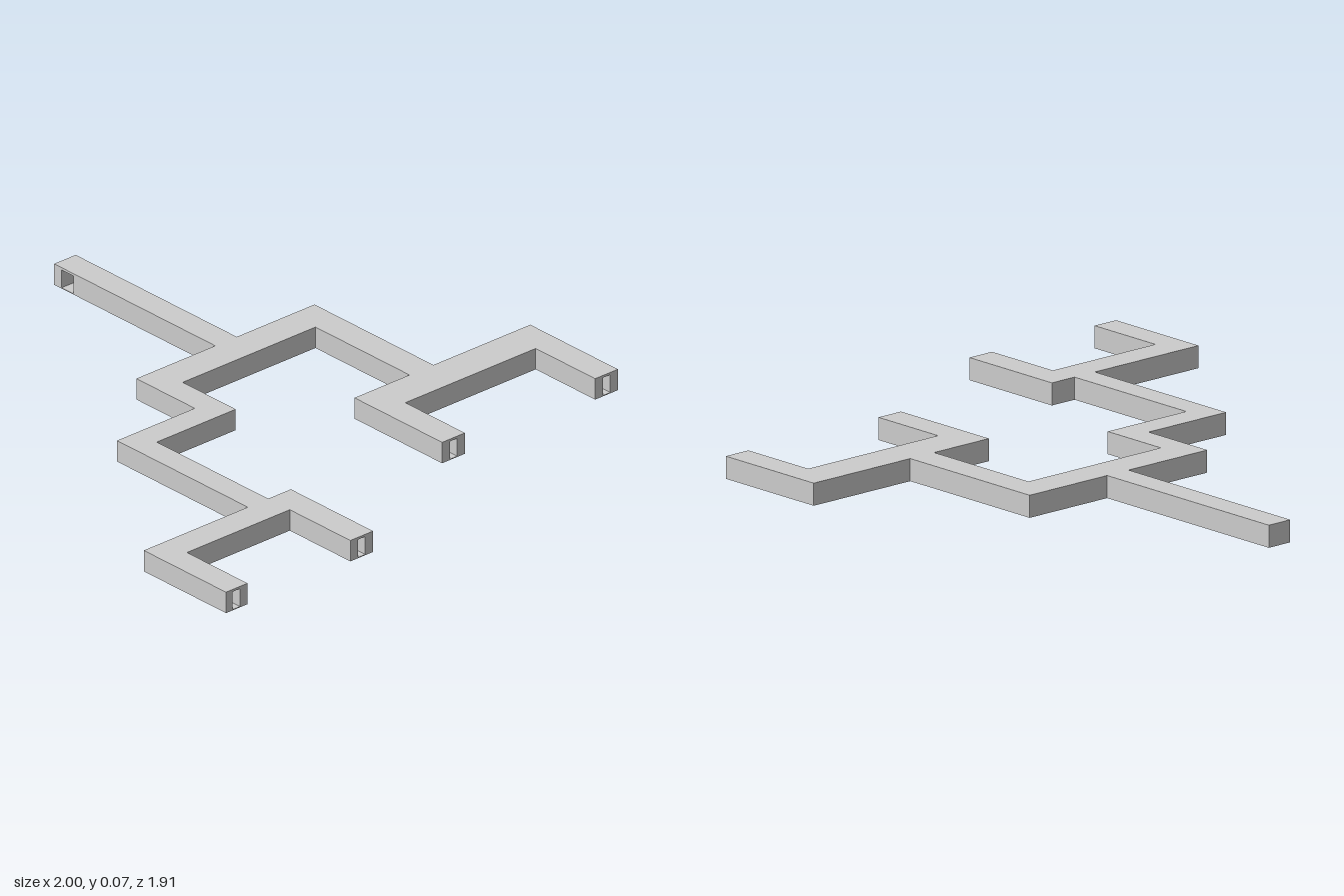
import * as THREE from 'three';

const HEIGHT = 0.073, FLOOR = 0.003, LINTEL = 0.065;
const DEPTH = 0.06; // how far each doorway runs into its corridor

// Doorway in an end wall facing +x, walked towards +z
const endDoor = (x, z) => [
  [x, z - 0.015], [x - DEPTH, z - 0.015], [x - DEPTH, z + 0.015], [x, z + 0.015],
];
// Doorway in a side wall facing +z, walked towards -x
const sideDoor = (x, z) => [
  [x + 0.027, z], [x + 0.027, z - DEPTH], [x - 0.027, z - DEPTH], [x - 0.027, z],
];

// Plan of the branching corridors as [x, z], with or without doorways
function plan(doors) {
  const end = (x, z) => (doors ? endDoor(x, z) : []);
  const side = (x, z) => (doors ? sideDoor(x, z) : []);
  const points = [
    // entrance corridor and back branch
    [-1, -0.225], [-0.255, -0.225], [-0.255, -0.55], [0.295, -0.55],
    [0.295, -0.955], [0.7, -0.955], ...end(0.7, -0.908), [0.7, -0.86],
    [0.425, -0.86], [0.425, -0.315], [0.7, -0.315], ...end(0.7, -0.268), [0.7, -0.22],
    [0.295, -0.22], [0.295, -0.45], [-0.14, -0.45],
    // front branch
    [-0.14, 0.105], [0.105, 0.105], [0.105, 0.435], [0.62, 0.435],
    [0.62, 0.34], [1, 0.34], ...end(1, 0.388), [1, 0.435],
    [0.72, 0.435], [0.72, 0.865], [1, 0.865], ...end(1, 0.912), [1, 0.955],
    [0.62, 0.955], [0.62, 0.52], [0.015, 0.52], [0.015, 0.195],
    // back along the entrance corridor
    [-0.255, 0.195], [-0.255, -0.135], ...side(-0.938, -0.135), [-1, -0.135],
  ];
  return new THREE.Shape(points.map(([x, z]) => new THREE.Vector2(x, -z)));
}

export function createModel() {
  const group = new THREE.Group();
  const material = new THREE.MeshStandardMaterial({ color: 0xcccccc, flatShading: true });

  // One horizontal slab of the plan between two heights
  const addLayer = (name, y0, y1, doors) => {
    const geometry = new THREE.ExtrudeGeometry(plan(doors), { depth: y1 - y0, bevelEnabled: false });
    geometry.rotateX(-Math.PI / 2).translate(0, y0, 0);
    const mesh = new THREE.Mesh(geometry, material);
    mesh.name = name;
    group.add(mesh);
  };

  addLayer('floor', 0, FLOOR, false);
  addLayer('corridorWalls', FLOOR, LINTEL, true);
  addLayer('roof', LINTEL, HEIGHT, false);

  group.name = 'branchingCorridors';
  return group;
}
